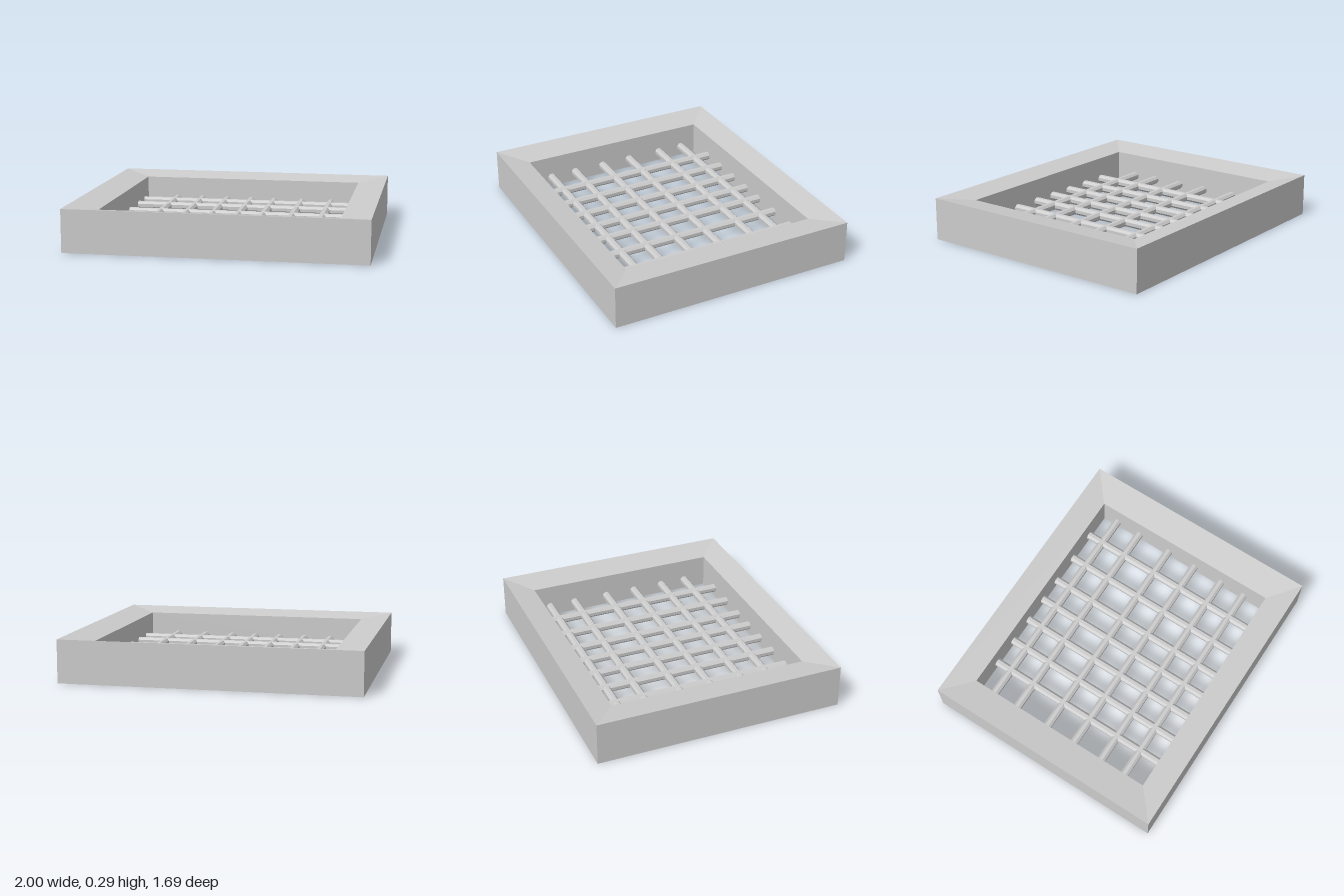
import * as THREE from 'three';

const material = new THREE.MeshStandardMaterial({ color: 0xcccccc, flatShading: true });

// Four-sided frame: a lathed cross-section with mitred corners, stretched to a rectangle
function makeFrame() {
  const halfWidth = 1, halfDepth = 0.845, height = 0.29, inner = 0.795, bevel = 0.03;
  const profile = [
    [1, 0], [1, height], [inner, height - bevel], [inner, bevel], [1, 0],
  ].map(([r, y]) => new THREE.Vector2(r * Math.SQRT2, y));
  const geometry = new THREE.LatheGeometry(profile, 4, Math.PI / 4)
    .scale(halfWidth, 1, halfDepth)
    .toNonIndexed();
  geometry.computeVertexNormals();
  const frame = new THREE.Mesh(geometry, material);
  frame.name = 'frame';
  return frame;
}

// Eight-sided bar along y, with a flat face turned up once it is laid down
function makeBar(length) {
  return new THREE.CylinderGeometry(0.029, 0.029, length, 8).rotateY(Math.PI / 8);
}

export function createModel() {
  const model = new THREE.Group();
  model.name = 'gratedFrame';
  model.add(makeFrame());

  const grate = new THREE.Group();
  grate.name = 'grate';
  grate.position.y = 0.1;
  model.add(grate);

  // Bars running front to back, ends set into the frame
  const longBar = makeBar(1.44).rotateX(Math.PI / 2);
  [-0.567, -0.375, -0.187, -0.004, 0.17, 0.377, 0.591].forEach((x, i) => {
    const bar = new THREE.Mesh(longBar, material);
    bar.name = `depthBar${i + 1}`;
    bar.position.x = x;
    grate.add(bar);
  });

  // Bars running side to side
  const crossBar = makeBar(1.7).rotateZ(Math.PI / 2);
  [-0.558, -0.37, -0.12, 0.098, 0.32, 0.507].forEach((z, i) => {
    const bar = new THREE.Mesh(crossBar, material);
    bar.name = `widthBar${i + 1}`;
    bar.position.z = z;
    grate.add(bar);
  });

  return model;
}
